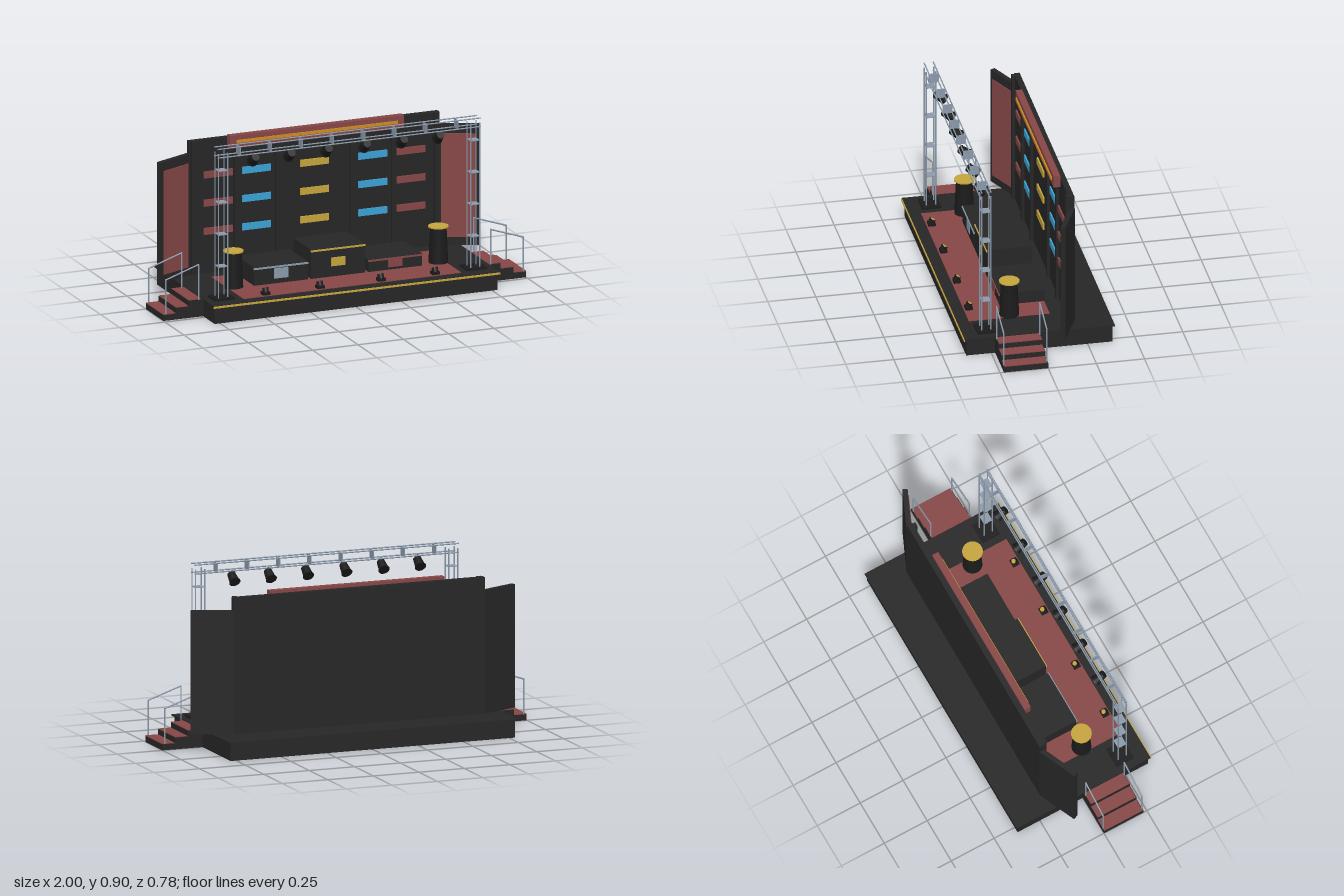
import * as THREE from 'three';

const mat = (name, color) => {
  const m = new THREE.MeshStandardMaterial({ color });
  m.name = name;
  return m;
};

export function createModel() {
  const root = new THREE.Group();
  root.name = 'awardStage';
  const dark = mat('charcoal', 0x262626);
  const black = mat('black', 0x1b1b1b);
  const red = mat('dullRed', 0x864646);
  const gold = mat('gold', 0xc4a43c);
  const orange = mat('amber', 0xcc8a22);
  const blue = mat('lightBlue', 0x3aa2d4);
  const silver = mat('steel', 0x8a99aa);

  const add = (name, geo, m, parent = root) => {
    const mesh = new THREE.Mesh(geo, m);
    mesh.name = name;
    parent.add(mesh);
    return mesh;
  };
  // Box given by its limits on each axis
  const box = (name, m, x0, x1, y0, y1, z0, z1, parent = root) => {
    const b = add(name, new THREE.BoxGeometry(x1 - x0, y1 - y0, z1 - z0), m, parent);
    b.position.set((x0 + x1) / 2, (y0 + y1) / 2, (z0 + z1) / 2);
    return b;
  };
  // Round bar between two points
  const bar = (name, m, a, b, r, parent = root) => {
    const p = new THREE.Vector3(...a), q = new THREE.Vector3(...b);
    const d = q.clone().sub(p);
    const c = add(name, new THREE.CylinderGeometry(r, r, d.length(), 8), m, parent);
    c.position.copy(p).add(q).multiplyScalar(0.5);
    c.quaternion.setFromUnitVectors(new THREE.Vector3(0, 1, 0), d.normalize());
    return c;
  };

  // Platform, lip, carpet and front trim
  box('platform', dark, -0.78, 0.78, 0, 0.09, -0.38, 0.38);
  box('platformLip', dark, -0.79, 0.79, 0.09, 0.097, -0.39, 0.39);
  box('carpet', red, -0.6, 0.6, 0.097, 0.1, -0.09, 0.33);
  box('frontTrim', gold, -0.79, 0.79, 0.085, 0.095, 0.386, 0.395);

  // Back wall with ribs and light panels
  box('backWall', dark, -0.69, 0.69, 0.097, 0.805, -0.2, -0.17);
  for (const x of [-0.67, -0.435, -0.205, 0.205, 0.435, 0.67])
    box('wallRib', dark, x - 0.012, x + 0.012, 0.097, 0.805, -0.17, -0.155);
  const columns = [[-0.532, red], [-0.32, blue], [0, gold], [0.32, blue], [0.532, red]];
  for (const [x, m] of columns)
    for (const y of [0.32, 0.47, 0.62])
      box('lightPanel', m, x - 0.079, x + 0.079, y - 0.018, y + 0.018, -0.17, -0.162);
  box('header', red, -0.48, 0.48, 0.755, 0.82, -0.17, -0.135);
  box('headerStripe', orange, -0.445, 0.445, 0.78, 0.795, -0.135, -0.128);

  // Podiums of three heights
  const podiums = [
    [-0.315, 0.195, silver, 0.153, 0.027],
    [0, 0.253, gold, 0.178, 0.023],
    [0.315, 0.165, red, 0.135, 0.022],
  ];
  for (const [x, top, m, py, ph] of podiums) {
    box('podium', dark, x - 0.148, x + 0.148, 0.097, top, -0.093, 0.142);
    box('podiumTrim', m, x - 0.15, x + 0.15, top - 0.011, top - 0.002, 0.14, 0.147);
    box('podiumPlaque', m, x - 0.039, x + 0.039, py - ph, py + ph, 0.142, 0.146);
  }

  for (const s of [-1, 1]) {
    // Angled wings
    const wing = new THREE.Group();
    wing.name = 'wing';
    wing.position.set(s * 0.785, 0, -0.145);
    wing.rotation.y = -s * 0.42;
    root.add(wing);
    box('wingPanel', dark, -0.11, 0.11, 0.097, 0.737, -0.013, 0.013, wing);
    box('wingCloth', red, -0.09, 0.09, 0.14, 0.69, 0.013, 0.018, wing);

    // Side steps with carpeted treads
    for (let i = 0; i < 3; i++) {
      const xo = 1 - i * 0.07, y = 0.031 + i * 0.03;
      const a = Math.min(s * 0.78, s * xo), b = Math.max(s * 0.78, s * xo);
      box('step', dark, a, b, i * 0.031, y, 0, 0.23);
      const t0 = s * (xo - 0.068), t1 = s * xo;
      box('tread', red, Math.min(t0, t1), Math.max(t0, t1), y, y + 0.004, 0.003, 0.227);
    }
    // Handrails
    for (const z of [0.004, 0.228]) {
      bar('railPost', silver, [s * 0.805, 0.09, z], [s * 0.805, 0.277, z], 0.004);
      bar('railPost', silver, [s * 0.985, 0.033, z], [s * 0.985, 0.217, z], 0.004);
      bar('handrail', silver, [s * 0.803, 0.277, z], [s * 0.987, 0.215, z], 0.004);
    }

    // Tapered stands with gold tops
    const stand = add('stand', new THREE.CylinderGeometry(0.042, 0.051, 0.19, 24), black);
    stand.position.set(s * 0.565, 0.192, 0.113);
    const disc = add('standTop', new THREE.CylinderGeometry(0.053, 0.053, 0.006, 24), gold);
    disc.position.set(s * 0.565, 0.29, 0.113);

    // Truss towers
    box('towerBase', black, s * 0.695 - 0.055, s * 0.695 + 0.055, 0.097, 0.105, 0.215, 0.315);
    for (const x of [0.67, 0.72])
      for (const z of [0.24, 0.288])
        bar('towerLeg', silver, [s * x, 0.1, z], [s * x, 0.87, z], 0.0035);
    for (const y of [0.267, 0.437, 0.606, 0.776])
      box('towerPlate', silver, s * 0.695 - 0.025, s * 0.695 + 0.025, y - 0.002, y + 0.002, 0.24, 0.288);

    // Overhead truss plates
    for (const x of [0.086, 0.257, 0.428, 0.6])
      box('trussPlate', silver, s * x - 0.002, s * x + 0.002, 0.845, 0.895, 0.238, 0.29);

    // Hanging spotlights aimed down at the stage
    for (const x of [0.105, 0.31, 0.51]) {
      const lamp = new THREE.Group();
      lamp.name = 'spotlight';
      lamp.position.set(s * x, 0.811, 0.253);
      lamp.rotation.x = 0.95;
      root.add(lamp);
      add('spotBody', new THREE.CylinderGeometry(0.021, 0.026, 0.052, 16), black, lamp);
      const rim = add('spotRim', new THREE.CylinderGeometry(0.026, 0.03, 0.008, 16), black, lamp);
      rim.position.y = -0.029;
      bar('spotHanger', black, [s * x, 0.82, 0.262], [s * x, 0.847, 0.262], 0.005);
    }

    // Floor lamps tilted back
    for (const x of [0.168, 0.467]) {
      box('floorLampBase', black, s * x - 0.02, s * x + 0.02, 0.1, 0.115, 0.285, 0.322);
      const lamp = new THREE.Group();
      lamp.name = 'floorLamp';
      lamp.position.set(s * x, 0.121, 0.304);
      lamp.rotation.x = -0.55;
      root.add(lamp);
      add('floorLampBody', new THREE.CylinderGeometry(0.017, 0.014, 0.026, 16), black, lamp);
      const lens = add('floorLampLens', new THREE.CylinderGeometry(0.012, 0.012, 0.002, 16), gold, lamp);
      lens.position.y = 0.0135;
    }
  }

  // Overhead truss chords
  for (const y of [0.848, 0.894])
    for (const z of [0.24, 0.288])
      bar('trussChord', silver, [-0.725, y, z], [0.725, y, z], 0.0035);

  return root;
}
